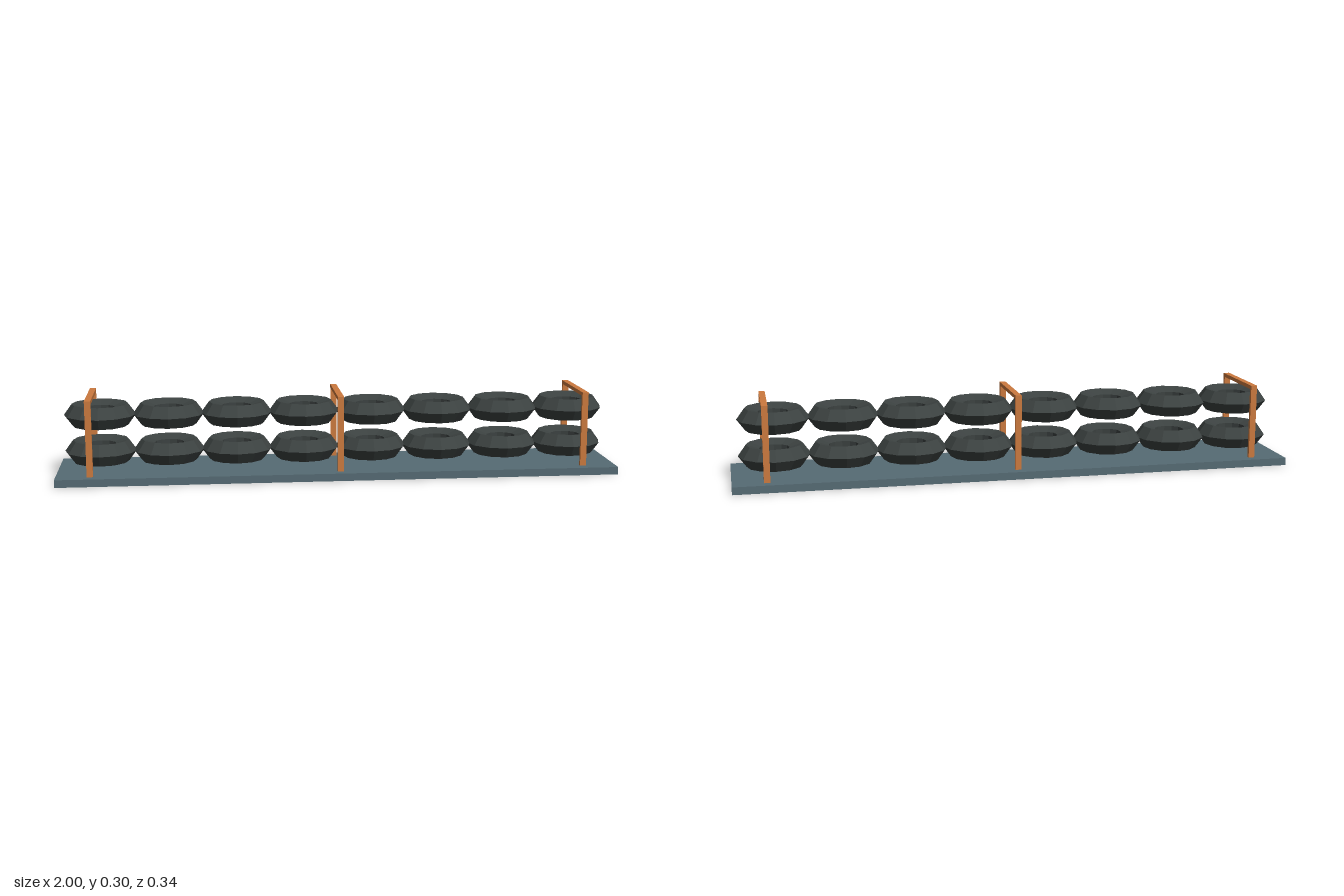
import * as THREE from 'three';

export function createModel() {
  const group = new THREE.Group();
  const material = (name, color, flatShading = false) => {
    const m = new THREE.MeshStandardMaterial({ color, flatShading });
    m.name = name;
    return m;
  };
  const slate = material('slate base', 0x566b74);
  const orange = material('orange frame', 0xcc7a3f);
  const rubber = material('dark rubber', 0x3c4241, true);

  const add = (parent, name, geometry, mat, x, y, z) => {
    const mesh = new THREE.Mesh(geometry, mat);
    mesh.name = name;
    mesh.position.set(x, y, z);
    parent.add(mesh);
    return mesh;
  };

  // Base plate
  add(group, 'basePlate', new THREE.BoxGeometry(2, 0.027, 0.345), slate, 0, 0.0135, 0);

  // Two layers of eight faceted tyres
  const tyre = new THREE.TorusGeometry(0.086, 0.041, 5, 12).rotateX(-Math.PI / 2);
  for (const [layer, y] of [['lowerTyre', 0.094], ['upperTyre', 0.2245]]) {
    for (let i = 0; i < 8; i++) {
      add(group, layer, tyre, rubber, (i - 3.5) * 0.242, y, 0);
    }
  }

  // Three hoops: a pair of posts joined by a top bar
  const post = new THREE.BoxGeometry(0.022, 0.258, 0.012);
  const bar = new THREE.BoxGeometry(0.022, 0.0135, 0.278);
  for (const x of [-0.88, 0, 0.88]) {
    const frame = new THREE.Group();
    frame.name = 'retainingFrame';
    for (const side of [-1, 1]) add(frame, 'post', post, orange, 0, 0.155, side * 0.132);
    add(frame, 'topBar', bar, orange, 0, 0.289, 0);
    frame.position.x = x;
    group.add(frame);
  }
  return group;
}
